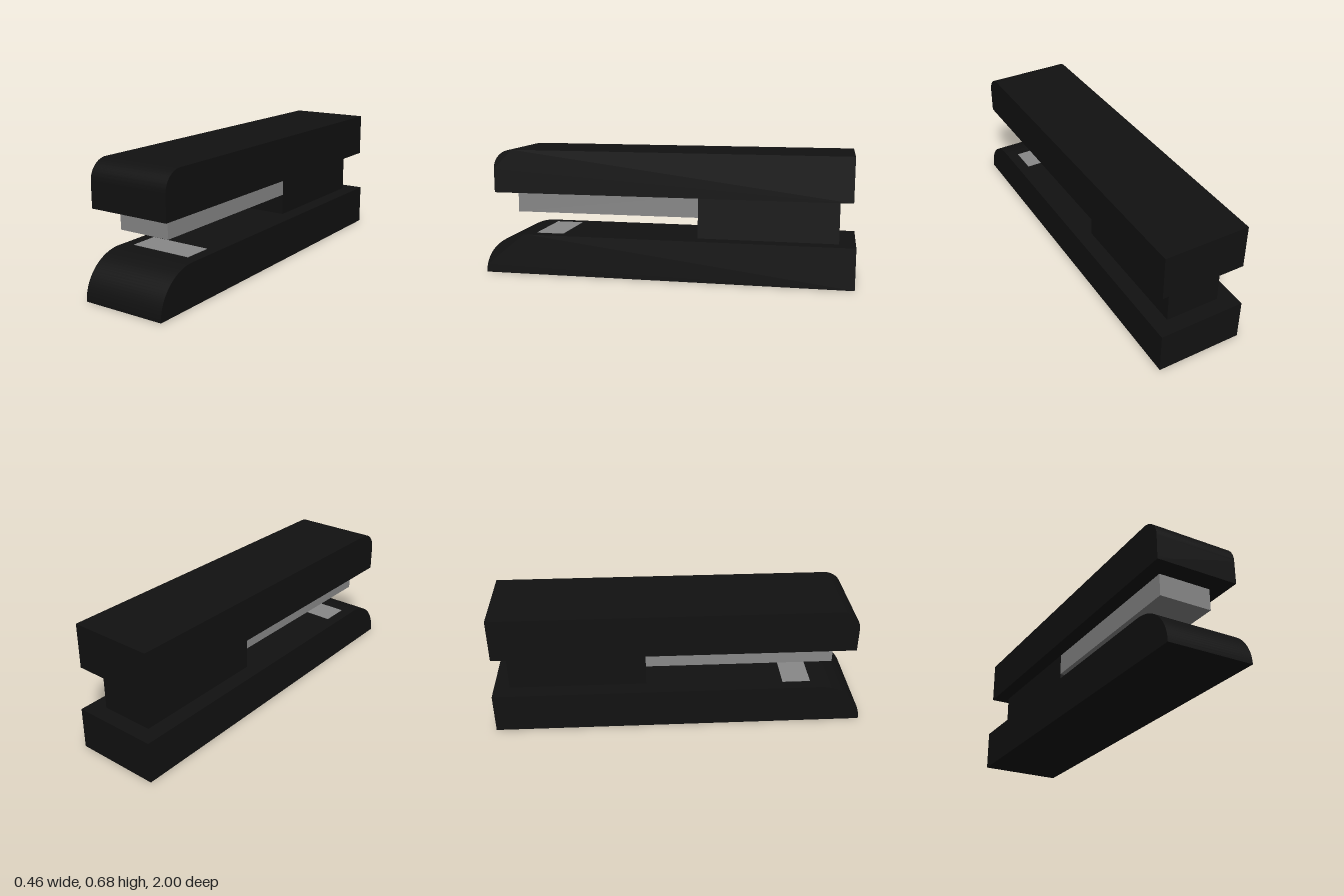
import * as THREE from 'three';
import { toCreasedNormals } from 'three/addons/utils/BufferGeometryUtils.js';

const black = new THREE.MeshStandardMaterial({ color: 0x111111 });
const steel = new THREE.MeshStandardMaterial({ color: 0x888888 });

// Box given by its width (centred on x) and its y and z ranges
function block(name, width, y0, y1, z0, z1, material) {
  const mesh = new THREE.Mesh(new THREE.BoxGeometry(width, y1 - y0, z1 - z0), material);
  mesh.position.set(0, (y0 + y1) / 2, (z0 + z1) / 2);
  mesh.name = name;
  return mesh;
}

// Bar along z whose upper front edge is rounded by a quarter ellipse (rz by ry)
function roundedBar(name, width, y0, y1, z0, z1, rz, ry) {
  const side = new THREE.Shape();
  side.moveTo(z0, y0);
  side.lineTo(z1, y0);
  if (ry < y1 - y0) side.lineTo(z1, y1 - ry);
  side.absellipse(z1 - rz, y1 - ry, rz, ry, 0, Math.PI / 2, false);
  side.lineTo(z0, y1);
  side.closePath();
  const extruded = new THREE.ExtrudeGeometry(side, { depth: width, bevelEnabled: false, curveSegments: 12 });
  extruded.translate(0, 0, -width / 2);
  extruded.rotateY(-Math.PI / 2); // profile's x axis becomes z
  const mesh = new THREE.Mesh(toCreasedNormals(extruded, Math.PI / 6), black);
  mesh.name = name;
  return mesh;
}

export function createModel() {
  const model = new THREE.Group();
  model.name = 'stapler';
  model.add(
    roundedBar('base', 0.46, 0, 0.221, -1, 1, 0.235, 0.221),
    roundedBar('topArm', 0.45, 0.449, 0.684, -0.98, 0.94, 0.105, 0.105),
    // Rear block joining the arm to the base
    block('hingeBlock', 0.29, 0.221, 0.449, -0.915, -0.175, black),
    // Staple rail under the arm
    block('magazine', 0.29, 0.333, 0.449, -0.175, 0.835, steel),
    // Thin plate let into the base
    block('anvil', 0.34, 0.21, 0.223, 0.57, 0.722, steel)
  );
  return model;
}
